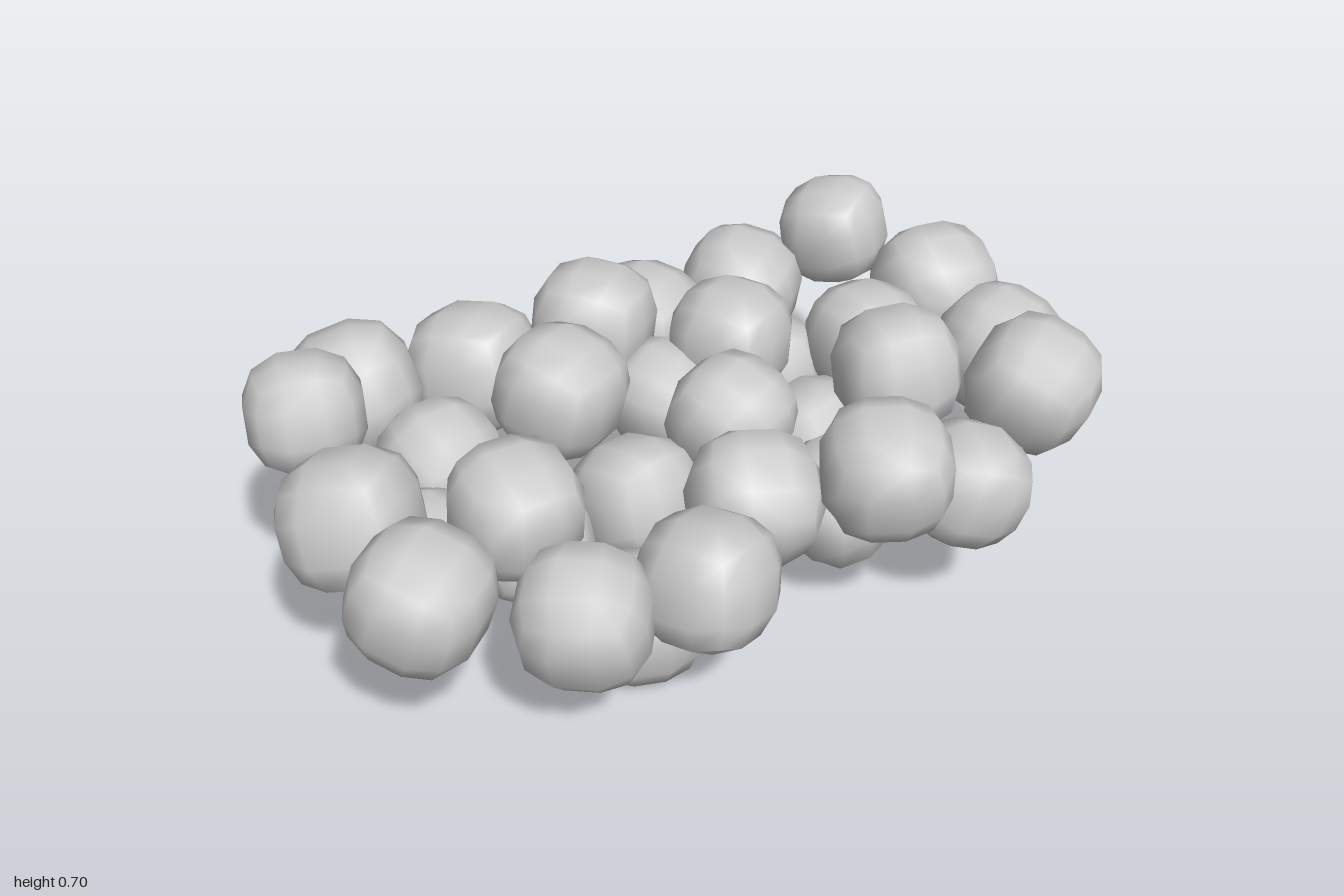
import * as THREE from 'three';
import { mergeVertices } from 'three/addons/utils/BufferGeometryUtils.js';

// Rounded cube: a coarsely divided box pulled most of the way onto a unit sphere
function makeLump() {
  let g = new THREE.BoxGeometry(1.6, 1.6, 1.6, 3, 3, 3);
  g.deleteAttribute('uv');
  g.deleteAttribute('normal');
  g = mergeVertices(g);
  const p = g.attributes.position;
  const v = new THREE.Vector3();
  for (let i = 0; i < p.count; i++) {
    v.fromBufferAttribute(p, i);
    v.lerp(v.clone().normalize(), 0.88).multiplyScalar(1.03);
    p.setXYZ(i, v.x, v.y, v.z);
  }
  g.computeVertexNormals();
  return g;
}

// Each lump: x, y, z, radius
const rim = [
  [-0.66, 0.45, -0.45, 0.165], [-0.35, 0.41, -0.46, 0.165], [-0.07, 0.51, -0.36, 0.155],
  [0.11, 0.42, -0.44, 0.15], [0.40, 0.43, -0.45, 0.16], [0.65, 0.56, -0.40, 0.14],
  [0.83, 0.44, -0.19, 0.165], [0.81, 0.42, 0.11, 0.16], [0.68, 0.52, 0.39, 0.155],
  [0.46, 0.36, 0.46, 0.145], [0.23, 0.48, 0.46, 0.155], [-0.22, 0.36, 0.47, 0.155],
  [-0.49, 0.34, 0.43, 0.155], [-0.79, 0.42, 0.30, 0.155], [-0.83, 0.44, 0.01, 0.16],
  [-0.83, 0.56, -0.25, 0.14],
];
const middle = [
  [-0.55, 0.35, -0.20, 0.15], [-0.26, 0.49, -0.15, 0.155], [0.20, 0.49, -0.16, 0.15],
  [0.38, 0.29, -0.27, 0.14], [0.58, 0.39, -0.13, 0.15], [0.47, 0.49, 0.15, 0.155],
  [0.08, 0.42, 0.05, 0.15], [-0.52, 0.46, 0.17, 0.15], [0.00, 0.37, 0.29, 0.16],
];
const base = [
  [-0.17, 0.28, 0.05, 0.15], [-0.29, 0.15, 0.29, 0.15], [0.27, 0.23, 0.23, 0.155],
  [-0.42, 0.22, 0.02, 0.145], [0.36, 0.23, -0.02, 0.15], [-0.67, 0.29, 0.02, 0.14],
  [0.02, 0.37, -0.17, 0.14], [0.05, 0.15, 0.04, 0.15],
];

export function createModel() {
  const model = new THREE.Group();
  model.name = 'lumpCluster';
  const geometry = makeLump();
  const material = new THREE.MeshStandardMaterial({ color: 0xcccccc });

  // Small seeded generator for the turn of each lump
  let seed = 7;
  const rand = () => (seed = (seed * 16807) % 2147483647) / 2147483647;

  const addLayer = (name, lumps) => {
    const layer = new THREE.Group();
    layer.name = name;
    lumps.forEach(([x, y, z, r], i) => {
      const lump = new THREE.Mesh(geometry, material);
      lump.name = `${name}Lump${i + 1}`;
      lump.position.set(x, y, z);
      lump.rotation.set(rand() * 0.8 - 0.4, rand() * Math.PI, rand() * 0.8 - 0.4);
      lump.scale.setScalar(r);
      layer.add(lump);
    });
    model.add(layer);
  };

  // Bowl of lumps, from the raised edge down to the underside
  addLayer('rim', rim);
  addLayer('middle', middle);
  addLayer('base', base);
  return model;
}
